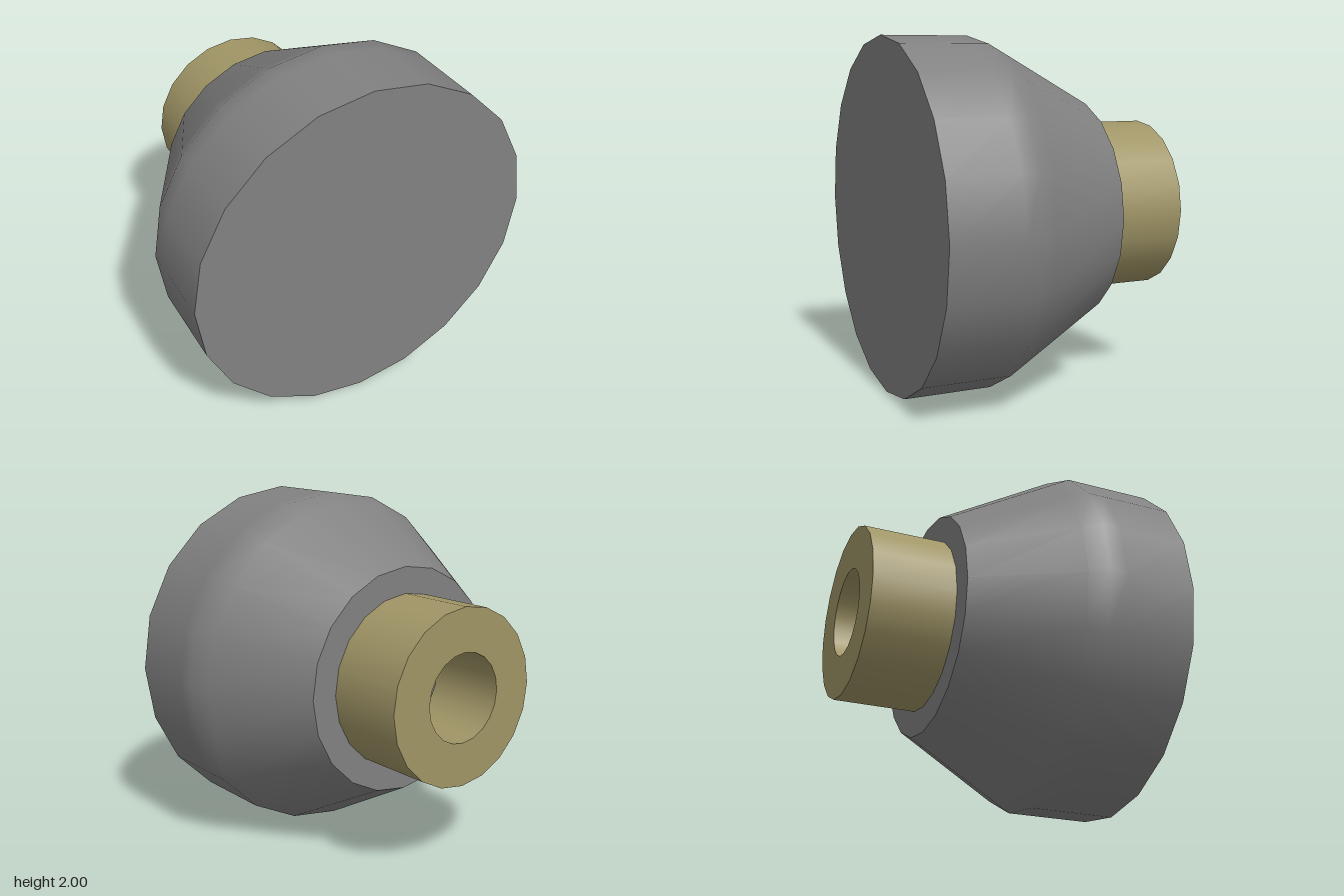
import * as THREE from 'three';

const SIDES = 20;
const FRONT = 0.815, SHOULDER = 0.31, REAR = -0.345, END = -0.815;

export function createModel() {
  const model = new THREE.Group();
  const darkGrey = new THREE.MeshStandardMaterial({ color: 0x818181 });
  const brass = new THREE.MeshStandardMaterial({ color: 0xa09566 });

  const add = (parent, name, geometry, material) => {
    const mesh = new THREE.Mesh(geometry, material);
    mesh.name = name;
    parent.add(mesh);
  };
  // Smooth wall turned around the z axis from [radius, z] pairs
  const wall = (profile) =>
    new THREE.LatheGeometry(profile.map(([r, z]) => new THREE.Vector2(r, z)), SIDES).rotateX(Math.PI / 2);
  // Flat disc or ring facing backwards
  const backFace = (geometry, z) => geometry.rotateY(Math.PI).translate(0, 0, z);

  // Body: short drum tapering to the rear; extra rings keep the smooth shoulder narrow
  const body = new THREE.Group();
  body.name = 'body';
  add(body, 'bodyWall', wall([
    [0.645, REAR], [0.946, SHOULDER - 0.1], [1, SHOULDER], [1, SHOULDER + 0.1], [1, FRONT],
  ]), darkGrey);
  add(body, 'frontFace', new THREE.CircleGeometry(1, SIDES).translate(0, 0, FRONT), darkGrey);
  add(body, 'rearFace', backFace(new THREE.CircleGeometry(0.645, SIDES), REAR), darkGrey);

  // Neck: hollow sleeve, its bore ending at the rear face of the body
  const neck = new THREE.Group();
  neck.name = 'neck';
  add(neck, 'neckWall', wall([[0.495, END], [0.495, REAR]]), brass);
  add(neck, 'neckBore', wall([[0.25, REAR], [0.25, END]]), brass);
  add(neck, 'neckRim', backFace(new THREE.RingGeometry(0.25, 0.495, SIDES), END), brass);

  model.add(body, neck);
  model.position.y = 1;
  const root = new THREE.Group();
  root.add(model);
  return root;
}
